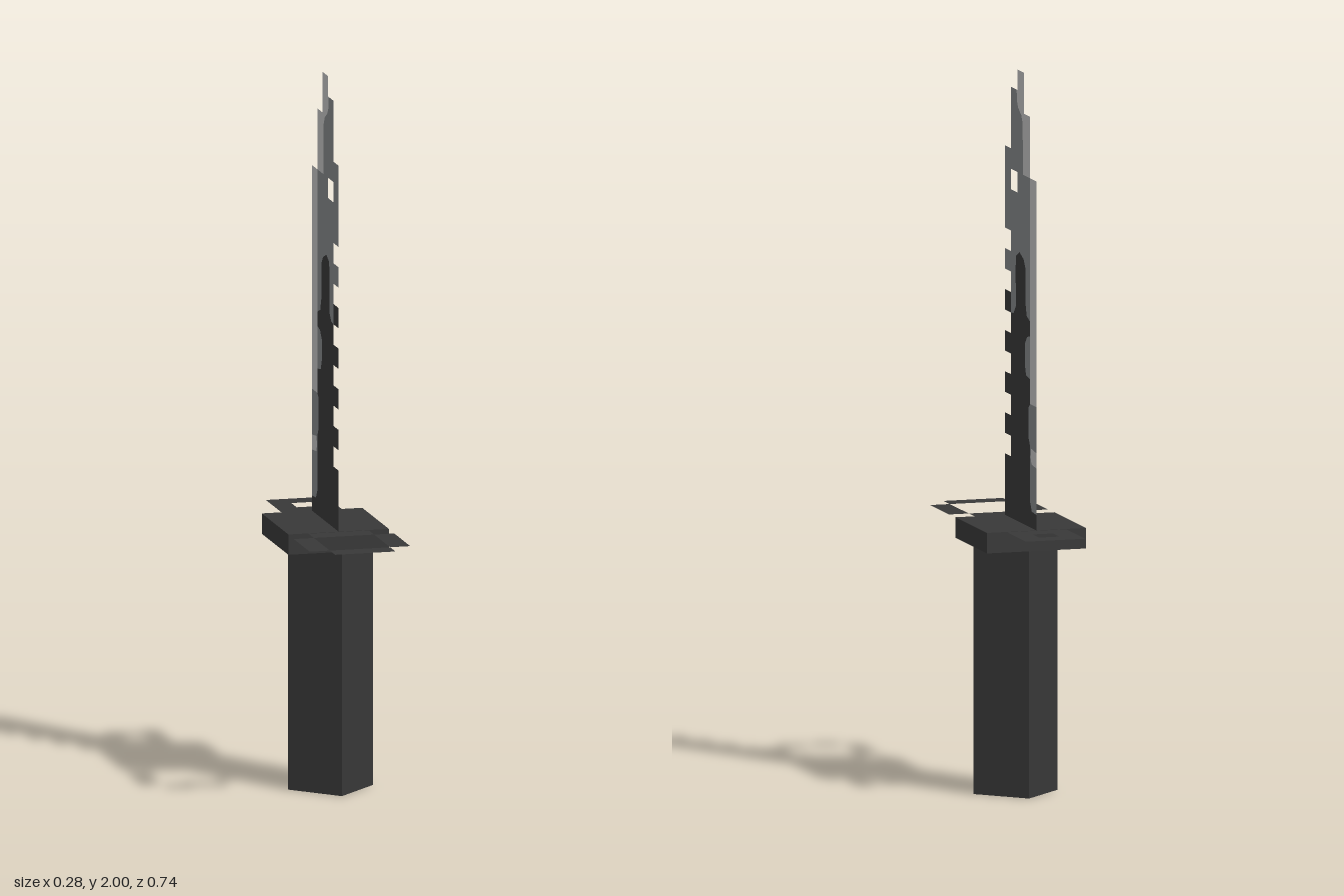
import * as THREE from 'three';

const U = 0.057;        // size of one grid cell of the blade and guard
const GUARD_TOP = 0.747;

const mat = (name, color, side = THREE.FrontSide) => {
  const m = new THREE.MeshStandardMaterial({ color, side });
  m.name = name;
  return m;
};

const toShape = (pts) => new THREE.Shape(pts.map(([x, y]) => new THREE.Vector2(x, y)));
const rect = (x0, y0, x1, y1) => [[x0, y0], [x1, y0], [x1, y1], [x0, y1]];

export function createModel() {
  const group = new THREE.Group();
  const dark = mat('darkIron', 0x383838, THREE.DoubleSide);
  const steel = mat('greySteel', 0x84888a, THREE.DoubleSide);
  const bright = mat('brightEdge', 0xc2c2c2, THREE.DoubleSide);

  const add = (name, geometry, material, x = 0, y = 0, z = 0, parent = group) => {
    const mesh = new THREE.Mesh(geometry, material);
    mesh.name = name;
    mesh.position.set(x, y, z);
    parent.add(mesh);
    return mesh;
  };

  // Square handle turned on its corner
  const grip = add('handle', new THREE.BoxGeometry(0.171, 0.69, 0.171), dark, 0.015, 0.345, -0.058);
  grip.rotation.y = Math.PI / 4;

  // Guard block
  add('guard', new THREE.BoxGeometry(5 * U, U, 5 * U), dark, 0, GUARD_TOP - U / 2, -0.0575);

  // Flat guard ends: pierced tab behind, open ring in front (x, -z in metres)
  const tab = toShape(rect(-0.0855, 0.2, 0.0855, 0.371));
  tab.holes.push(new THREE.Path(rect(-0.0285, 0.257, 0.0285, 0.314).map(([x, y]) => new THREE.Vector2(x, y))));
  const ring = [
    rect(-0.0855, -0.142, 0.0855, -0.085),
    rect(-0.1425, -0.313, -0.0855, -0.142),
    rect(0.0855, -0.313, 0.1425, -0.142),
    rect(-0.0855, -0.37, 0.0855, -0.313),
  ].map(toShape);
  const flat = (shapes) => new THREE.ShapeGeometry(shapes).rotateX(-Math.PI / 2);
  add('guardTab', flat(tab), dark, 0, GUARD_TOP - 0.001, 0);
  add('guardRing', flat(ring), dark, 0, GUARD_TOP - 0.001, 0);

  // Blade: adjoining flat patches in grid cells, measured from the toothed edge and guard
  const blade = new THREE.Group();
  blade.name = 'blade';
  blade.position.set(0, GUARD_TOP, 0.085);
  group.add(blade);
  const patch = (name, shapes, material) => {
    const g = new THREE.ShapeGeometry(shapes).scale(U, U, 1).rotateY(Math.PI / 2);
    add(name, g, material, 0, 0, 0, blade);
  };

  // Borders shared by neighbouring patches
  const tipBorder = [[1.85, 21], [1.95, 20.4], [2.1, 20.15], [2.6, 19.85], [2.8, 19.5], [2.87, 17], [4, 17]];
  const stainTop = [[1, 10], [1.4, 10.05], [1.75, 10.45], [1.7, 12.3], [1.8, 12.9], [2.3, 13.15],
    [2.95, 12.9], [3.25, 12.5], [3.25, 10.8], [3.45, 10.2], [4, 10]];
  const upperBulge = [[4, 9.3], [3.5, 9.2], [3.15, 8.8], [3.15, 7.8], [3.35, 7.3], [4, 7.2]];
  const lowerBulge = [[4, 6], [3.75, 5.8], [3.75, 4.3], [4, 3.9], [4, 1.2], [4.25, 0.8], [5, 0.75]];
  const glint = [[5, 3], [4.2, 3.1], [4.06, 3.4], [4.15, 3.85], [5, 3.75]];

  // Dark lower blade with saw teeth
  const teeth = [];
  for (const k of [4, 6, 8]) teeth.push([1, k], [0, k], [0, k + 1], [1, k + 1]);
  patch('bladeDark', [
    toShape([...stainTop, ...upperBulge, ...lowerBulge, [5, 0], [0, 0], [0, 3], [1, 3], ...teeth]),
    toShape(rect(0, 10, 1, 11)),
  ], dark);

  // Grey blade body with a square hole, and grey bulges by the cutting edge
  const body = toShape([...stainTop, ...[...tipBorder].reverse(), [1, 21], [1, 18], [0, 18], [0, 14],
    [1, 14], [1, 13], [0, 13], [0, 12], [1, 12]]);
  body.holes.push(new THREE.Path(rect(1, 16, 2, 17).map(([x, y]) => new THREE.Vector2(x, y))));
  patch('bladeBody', [body, toShape(upperBulge), toShape([...lowerBulge, ...glint, [5, 6]])], steel);

  // Bright tip, cutting edge and glint
  patch('bladeEdge', [
    toShape([...tipBorder, [4, 20], [3, 20], [3, 22], [2, 22], [2, 21]]),
    toShape(rect(4, 6, 5, 17)),
    toShape(glint),
  ], bright);

  return group;
}
